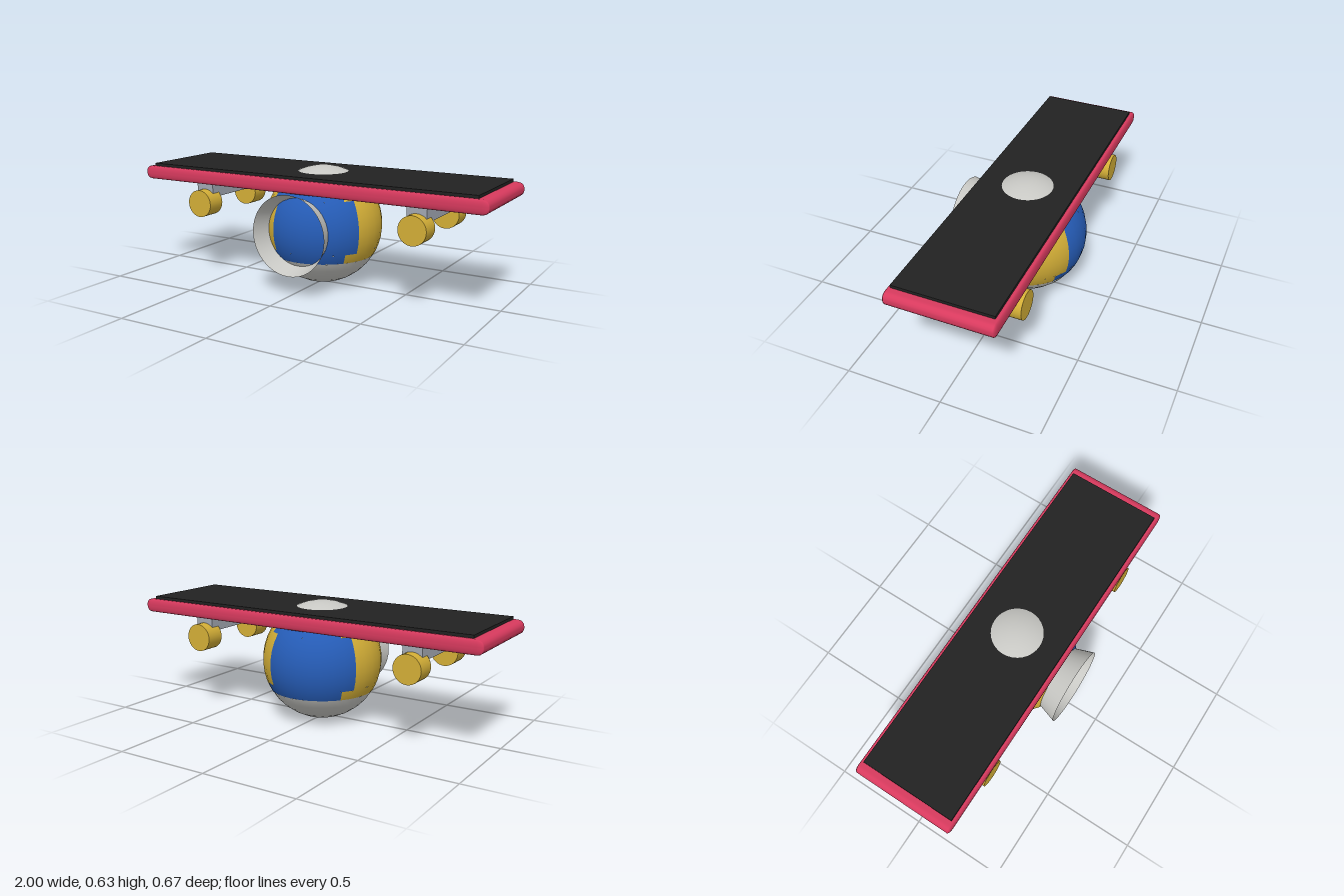
import * as THREE from 'three';
import { RoundedBoxGeometry } from 'three/addons/geometries/RoundedBoxGeometry.js';

const mat = (name, color, side = THREE.FrontSide) => {
  const m = new THREE.MeshStandardMaterial({ color, side });
  m.name = name;
  return m;
};

export function createModel() {
  const model = new THREE.Group();
  model.name = 'boardWithGlobe';

  const red = mat('crimson', 0xd83a5e);
  const black = mat('gripBlack', 0x222222);
  const gold = mat('gold', 0xd4af37);
  const blue = mat('blue', 0x265db8);
  const pale = mat('paleGrey', 0xc8c8c4, THREE.DoubleSide);
  const steel = mat('steelGrey', 0xa3a9b3);

  const CZ = -0.02; // shared centre line in z

  const add = (name, geometry, material, x, y, z, parent = model) => {
    const mesh = new THREE.Mesh(geometry, material);
    mesh.name = name;
    mesh.position.set(x, y, z);
    parent.add(mesh);
    return mesh;
  };

  // Deck: rounded slab squeezed in z, so its long edges are tighter than its ends
  const deck = add('deck', new RoundedBoxGeometry(2, 0.072, 1.6, 2, 0.033), red, 0, 0.549, -0.0215);
  deck.scale.z = 0.341;
  add('gripTape', new THREE.BoxGeometry(1.89, 0.03, 0.505), black, 0, 0.585, CZ);

  // Trucks with two wheels each
  const wheelGeo = new THREE.CylinderGeometry(0.074, 0.074, 0.105, 32).rotateX(Math.PI / 2);
  for (const side of [-1, 1]) {
    const truck = new THREE.Group();
    truck.name = side > 0 ? 'leftTruck' : 'rightTruck';
    truck.position.set(side * 0.63, 0, CZ);
    model.add(truck);
    add('bracket', new THREE.BoxGeometry(0.104, 0.09, 0.42), steel, 0, 0.477, 0, truck);
    add('frontWheel', wheelGeo, gold, 0, 0.401, 0.21, truck);
    add('backWheel', wheelGeo, gold, 0, 0.401, -0.211, truck);
  }

  // Globe: pale caps, and stepped bands of alternating blue and gold quarters
  const R = 0.315;
  const globe = new THREE.Group();
  globe.name = 'globe';
  globe.position.set(0, R, CZ);
  model.add(globe);

  const polar = (y) => Math.acos(THREE.MathUtils.clamp((y - R) / R, -1, 1));
  const patch = (name, material, top, bottom, azimuth, sweep, rows) => {
    const t = polar(top);
    const start = THREE.MathUtils.degToRad(azimuth + 90);
    const arc = THREE.MathUtils.degToRad(sweep);
    const columns = Math.round(sweep / 11.25);
    add(name, new THREE.SphereGeometry(R, columns, rows, start, arc, t, polar(bottom) - t),
      material, 0, 0, 0, globe);
  };

  patch('topCap', pale, 2 * R, 0.56, 0, 360, 5);
  patch('bottomCap', pale, 0.16, 0, 0, 360, 6);
  const bands = [
    { top: 0.56, bottom: 0.48, start: -37, rows: 2 },
    { top: 0.48, bottom: 0.21, start: -25, rows: 6 },
    { top: 0.21, bottom: 0.16, start: -38, rows: 1 },
  ];
  for (const { top, bottom, start, rows } of bands) {
    for (let q = 0; q < 4; q++) {
      patch(q % 2 ? 'goldQuarter' : 'blueQuarter', q % 2 ? gold : blue,
        top, bottom, start + q * 90, 90, rows);
    }
  }

  // Open flared collar on the front of the globe
  const flare = new THREE.CylinderGeometry(0.21, 0.178, 0.097, 48, 1, true).rotateX(Math.PI / 2);
  add('frontCollar', flare, pale, 0, 0.316, 0.2875);

  return model;
}
